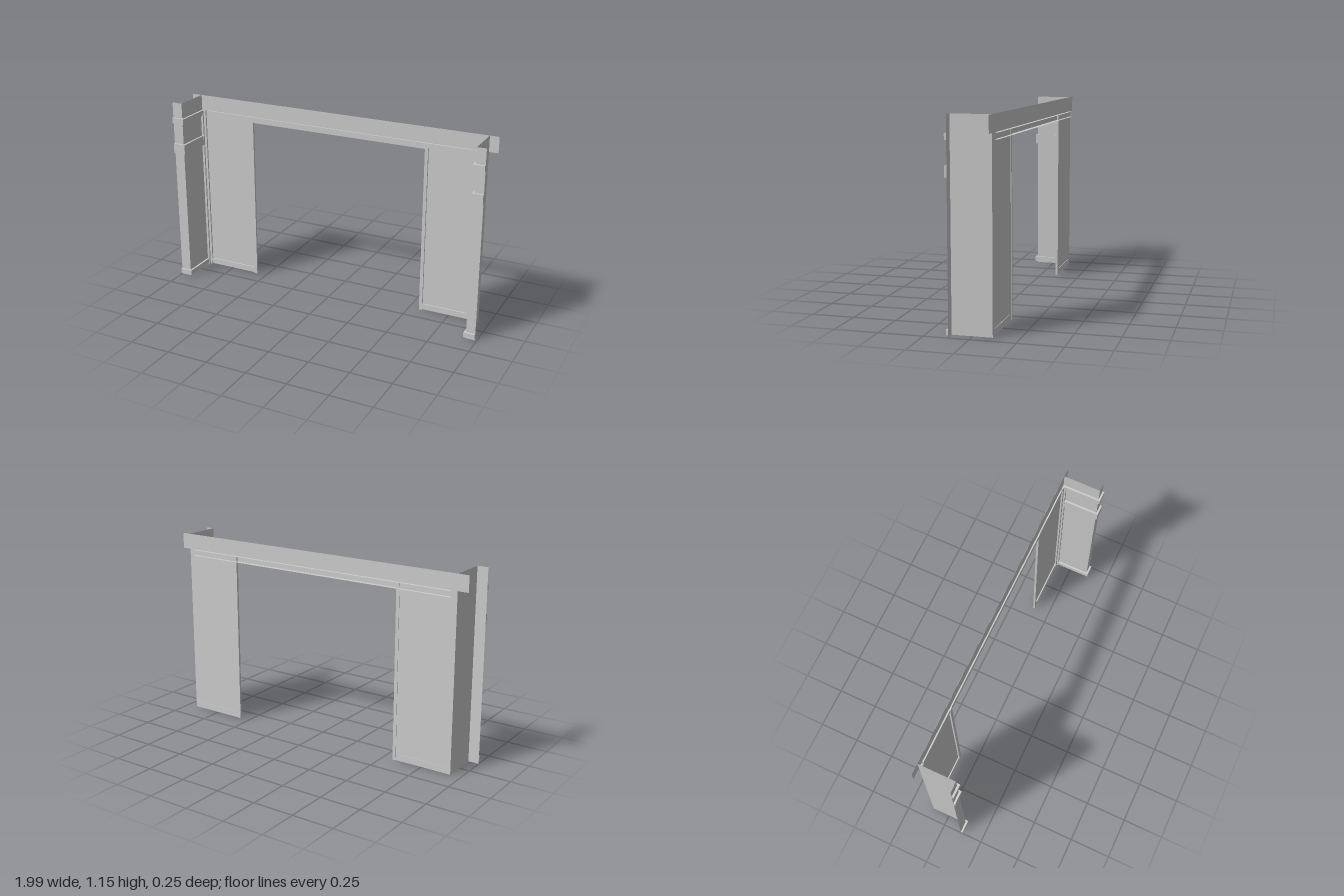
import * as THREE from 'three';

const material = new THREE.MeshStandardMaterial({ color: 0xcccccc, flatShading: true, side: THREE.DoubleSide });

export function createModel() {
  const root = new THREE.Group();

  function add(parent, name, geometry, x, y, z) {
    const mesh = new THREE.Mesh(geometry, material);
    mesh.name = name;
    mesh.position.set(x, y, z);
    parent.add(mesh);
  }

  // Sheet or block between two corners; one equal pair of limits gives a thin sheet
  function part(parent, name, [x0, x1], [y0, y1], [z0, z1]) {
    const w = Math.abs(x1 - x0), h = y1 - y0, d = z1 - z0;
    let g;
    if (w === 0) g = new THREE.PlaneGeometry(d, h).rotateY(Math.PI / 2);
    else if (h === 0) g = new THREE.PlaneGeometry(w, d).rotateX(-Math.PI / 2);
    else if (d === 0) g = new THREE.PlaneGeometry(w, h);
    else g = new THREE.BoxGeometry(w, h, d);
    add(parent, name, g, (x0 + x1) / 2, (y0 + y1) / 2, (z0 + z1) / 2);
  }

  const top = 1.15, back = -0.108, front = 0.115, wallX = 0.935;
  const bands = [[0.01, 0.04], [0.83, 0.89], [1.02, 1.055]];

  // Header sheet with ears that run past the side walls
  part(root, 'header', [-1, 0.99], [1.055, top], [back, back]);

  // Header moulding, open at the back, its shelves passing behind the wall
  part(root, 'headerMouldingFace', [-0.9, 0.9], [1.02, 1.055], [-0.1, -0.1]);
  for (const y of [1.02, 1.055])
    part(root, 'headerMouldingShelf', [-0.9, 0.895], [y, y], [-0.127, -0.1]);

  for (const s of [-1, 1]) {
    const side = new THREE.Group();
    side.name = s > 0 ? 'leftSide' : 'rightSide';
    root.add(side);
    const mx = (a, b) => [s * a, s * b];
    const outer = s > 0 ? 0.99 : 1;

    // Side wall, front flange and back panel
    part(side, 'sideWall', mx(wallX, wallX), [0, top], [back, front]);
    part(side, 'frontFlange', mx(wallX, outer), [0, top], [front, front]);
    part(side, 'backPanel', mx(0.57, wallX), [0, 1.055], [back, back]);

    // Corner trim and the jamb beside the opening
    part(side, 'cornerTrimBack', mx(0.905, 0.925), [0, 1.055], [back, -0.098]);
    part(side, 'cornerTrimSide', mx(0.92, 0.934), [0, 1.055], [back, -0.088]);
    part(side, 'jamb', mx(0.563, 0.583), [0, 1.055], [-0.111, -0.098]);

    // Baseboard on the back panel
    part(side, 'baseboard', mx(0.583, 0.905), [0.01, 0.04], [back, -0.1]);
    part(side, 'baseboardShelf', mx(0.61, 0.9), [0.04, 0.04], [-0.111, -0.1]);

    // Mouldings that wrap from the flange onto the inner wall face
    for (const y of bands) {
      part(side, 'flangeMoulding', mx(0.922, outer), y, [front, 0.127]);
      part(side, 'wallMoulding', mx(0.922, 0.934), y, [-0.088, front]);
    }
  }
  return root;
}
